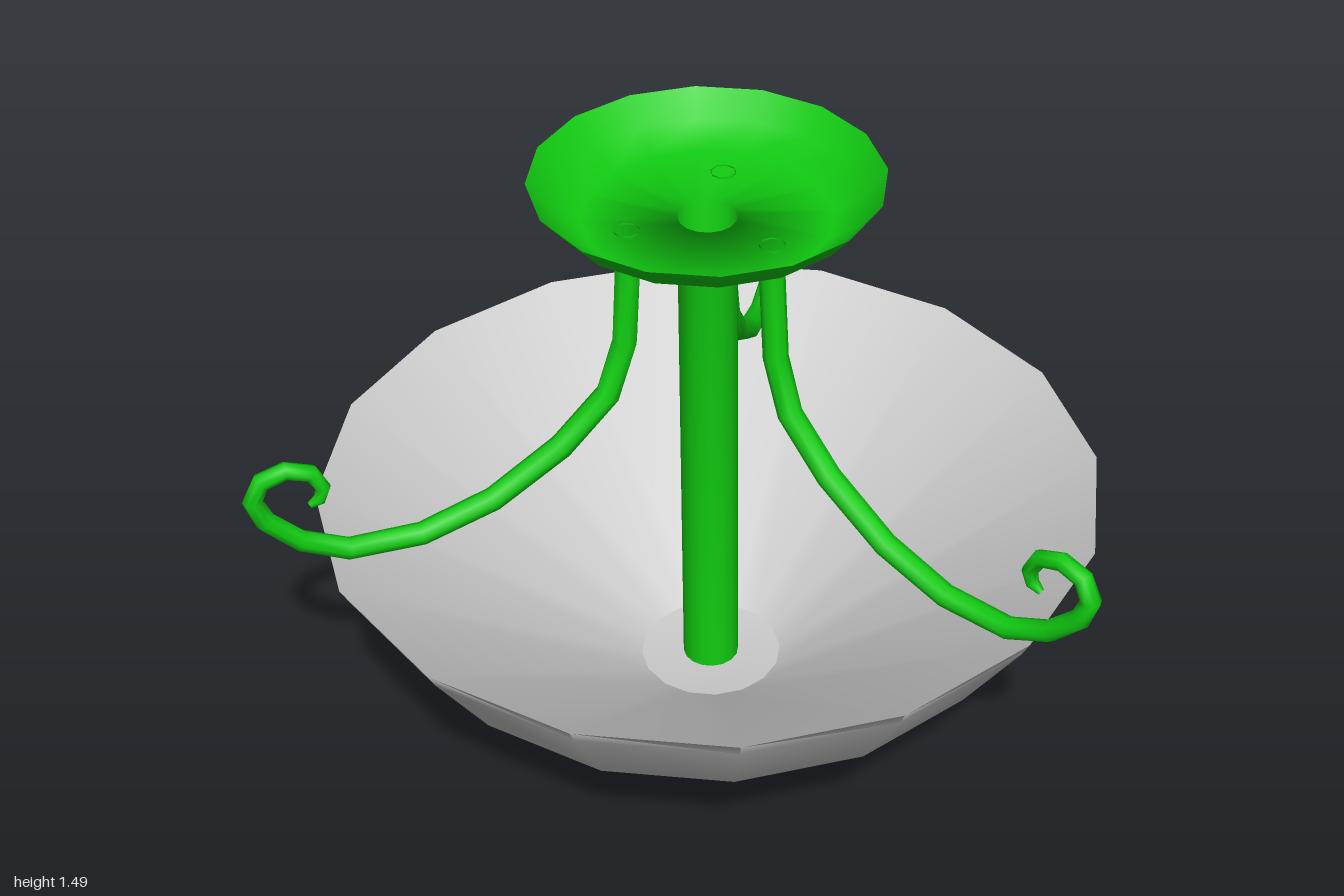
import * as THREE from 'three';

const AXIS_Z = -0.083;
const SIDES = 16;

const material = (color) => new THREE.MeshStandardMaterial({ color, side: THREE.DoubleSide });

// Surface of revolution from [radius, y] pairs, outer face on the right of the path
function turned(name, profile, mat) {
  const points = profile.map(([r, y]) => new THREE.Vector2(r, y));
  const mesh = new THREE.Mesh(new THREE.LatheGeometry(points, SIDES), mat);
  mesh.name = name;
  return mesh;
}

// Round bar through [z, y, thickness] stations in the x = 0 plane, mitred at each bend
function scrollBar(stations, sides = 8) {
  const position = [], index = [];
  const last = stations.length - 1;
  const at = (i) => new THREE.Vector2(stations[i][0], stations[i][1]);
  stations.forEach(([z, y, radius], i) => {
    const into = at(Math.max(i, 1)).sub(at(Math.max(i, 1) - 1)).normalize();
    const out = at(Math.min(i, last - 1) + 1).sub(at(Math.min(i, last - 1))).normalize();
    const t = into.add(out).normalize();
    for (let j = 0; j < sides; j++) {
      const a = (j / sides) * Math.PI * 2;
      const n = Math.cos(a) * radius;
      position.push(Math.sin(a) * radius, y + t.x * n, z - t.y * n);
      if (i < last) {
        const p = i * sides + j, q = i * sides + (j + 1) % sides;
        index.push(p, q, p + sides, q, q + sides, p + sides);
      }
    }
  });
  const geometry = new THREE.BufferGeometry();
  geometry.setAttribute('position', new THREE.Float32BufferAttribute(position, 3));
  geometry.setIndex(index);
  geometry.computeVertexNormals();
  return geometry;
}

export function createModel() {
  const model = new THREE.Group();
  model.name = 'ceilingLamp';
  const metal = material(0x11cc11);
  const glass = material(0xcccccc);

  const fixture = new THREE.Group();
  fixture.name = 'fixture';
  fixture.position.z = AXIS_Z;
  model.add(fixture);

  // Glass bowl: flat floor, rounded outside, soft rim and a conical inside
  fixture.add(turned('bowl', [
    [0, 0.128], [0.17, 0.128], [0.43, 0.183], [0.59, 0.258],
    [0.755, 0.408], [0.9, 0.63], [0.919, 0.667], [0.17, 0.129],
  ], glass));

  // Hollow stem flaring into the open dish against the ceiling
  fixture.add(turned('stemAndCanopy', [
    [0.067, 0.13], [0.067, 1.385], [0.278, 1.385], [0.345, 1.428], [0.393, 1.486],
  ], metal));

  // Cup and flattened knob below the bowl, turned as one piece
  fixture.add(turned('finial', [
    [0, 0], [0.035, 0.004], [0.058, 0.018], [0.066, 0.038], [0.058, 0.057],
    [0.034, 0.071], [0.07, 0.084], [0.17, 0.127],
  ], metal));

  // Three arms that sweep out over the rim and curl back
  const armGeometry = scrollBar([
    [0.185, 1.389, 0.029], [0.185, 1.3, 0.029], [0.197, 1.1, 0.029], [0.24, 0.965, 0.029],
    [0.355, 0.845, 0.029], [0.52, 0.737, 0.028], [0.69, 0.682, 0.027], [0.86, 0.684, 0.026],
    [0.965, 0.735, 0.025], [1.037, 0.81, 0.024], [1.059, 0.87, 0.023], [1.035, 0.918, 0.022],
    [0.98, 0.935, 0.021], [0.925, 0.915, 0.02], [0.902, 0.87, 0.018], [0.912, 0.84, 0.015],
    [0.935, 0.828, 0.008],
  ]);
  for (let i = 0; i < 3; i++) {
    const arm = new THREE.Mesh(armGeometry, metal);
    arm.name = ['frontArm', 'leftArm', 'rightArm'][i];
    arm.rotation.y = (i * Math.PI * 2) / 3;
    fixture.add(arm);
  }

  return model;
}
